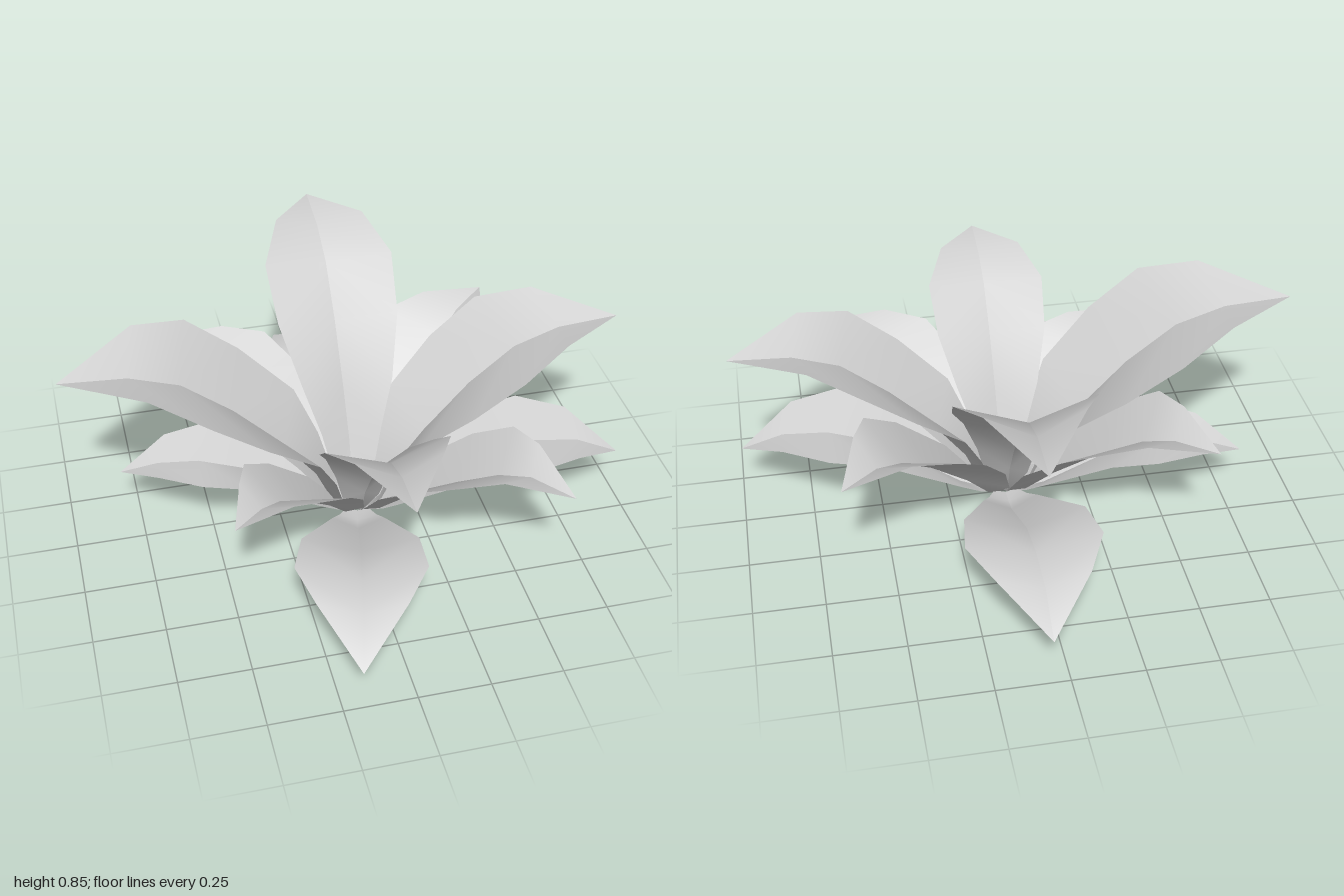
import * as THREE from 'three';

// Cross-sections from base to tip: spine reach, spine height, edge reach, edge height, half width.
// Reach is a fraction of leaf length, height and width are fractions of the leaf's own.
const PROFILES = {
  upper: [
    [0.03, 0.02, 0.03, 0.04, 0.16], [0.09, 0.06, 0.07, 0.14, 0.32], [0.15, 0.25, 0.11, 0.34, 0.47],
    [0.26, 0.45, 0.18, 0.55, 0.7], [0.43, 0.71, 0.36, 0.77, 0.94], [0.6, 0.9, 0.54, 0.96, 1],
    [0.77, 0.98, 0.73, 1.06, 0.69],
  ],
  middle: [
    [0.03, 0.02, 0.03, 0.05, 0.2], [0.11, 0.07, 0.09, 0.18, 0.4], [0.25, 0.33, 0.2, 0.47, 0.66],
    [0.48, 0.69, 0.42, 0.84, 0.96], [0.66, 0.92, 0.6, 1.05, 1], [0.8, 1.02, 0.76, 1.12, 0.62],
  ],
  lower: [
    [0.03, 0.0, 0.03, 0.05, 0.18], [0.1, 0.04, 0.09, 0.12, 0.3], [0.17, 0.11, 0.15, 0.25, 0.42],
    [0.49, 0.74, 0.45, 0.87, 0.9], [0.67, 0.88, 0.64, 1, 1], [0.84, 0.86, 0.82, 0.98, 0.67],
  ],
};

// Each leaf: name, tier, tip x, y, z, height scale, half width
const LEAVES = [
  ['upperLeafRight', 'upper', -1, 0.73, 0.01, 0.73, 0.335],
  ['upperLeafLeft', 'upper', 1, 0.695, 0.01, 0.695, 0.285],
  ['upperLeafBack', 'upper', 0.07, 0.8, -0.94, 0.8, 0.238],
  ['upperLeafFront', 'upper', 0.02, 0.66, 0.85, 0.66, 0.213],
  ['middleLeafBackLeft', 'middle', 0.67, 0.52, -0.55, 0.5, 0.21],
  ['middleLeafBackRight', 'middle', -0.6, 0.49, -0.54, 0.47, 0.22],
  ['middleLeafFrontRight', 'middle', -0.5, 0.42, 0.53, 0.4, 0.18],
  ['middleLeafFrontLeft', 'middle', 0.64, 0.42, 0.64, 0.43, 0.205],
  ['lowerLeafLeft', 'lower', 0.99, 0.2, 0.17, 0.305, 0.23],
  ['lowerLeafFront', 'lower', -0.17, 0.1, 0.95, 0.25, 0.225],
  ['lowerLeafRight', 'lower', -0.81, 0.19, -0.15, 0.265, 0.19],
  ['lowerLeafBack', 'lower', 0.05, 0.14, -0.96, 0.27, 0.235],
];

const CENTER = [0.04, 0.02];

// A folded leaf: two smooth halves meeting in a sharp crease along the spine
function leafGeometry(tier, tip, height, width) {
  const dx = tip[0] - CENTER[0], dz = tip[2] - CENTER[1];
  const length = Math.hypot(dx, dz);
  const place = (reach, y, side) => [
    CENTER[0] + dx * reach - (dz / length) * side,
    y,
    CENTER[1] + dz * reach + (dx / length) * side,
  ];
  const positions = [], indices = [];
  for (const side of [-1, 1]) {
    const start = positions.length / 3;
    const rows = PROFILES[tier];
    for (const [su, sy, eu, ey, w] of rows) {
      positions.push(...place(su, sy * height, 0), ...place(eu, ey * height, side * w * width));
    }
    positions.push(...tip);
    const triangle = (a, b, c) => (side > 0 ? indices.push(a, b, c) : indices.push(a, c, b));
    for (let i = 0; i < rows.length; i++) {
      const a = start + i * 2;
      triangle(a, a + 1, a + 2);
      if (i < rows.length - 1) triangle(a + 1, a + 3, a + 2);
    }
  }
  const geometry = new THREE.BufferGeometry();
  geometry.setAttribute('position', new THREE.Float32BufferAttribute(positions, 3));
  geometry.setIndex(indices);
  geometry.computeVertexNormals();
  return geometry;
}

export function createModel() {
  const plant = new THREE.Group();
  plant.name = 'rosettePlant';
  const leafGrey = new THREE.MeshStandardMaterial({ color: 0xd4d4d4, side: THREE.DoubleSide });
  leafGrey.name = 'leafGrey';

  for (const [name, tier, x, y, z, height, width] of LEAVES) {
    const leaf = new THREE.Mesh(leafGeometry(tier, [x, y, z], height, width), leafGrey);
    leaf.name = name;
    plant.add(leaf);
  }
  return plant;
}
